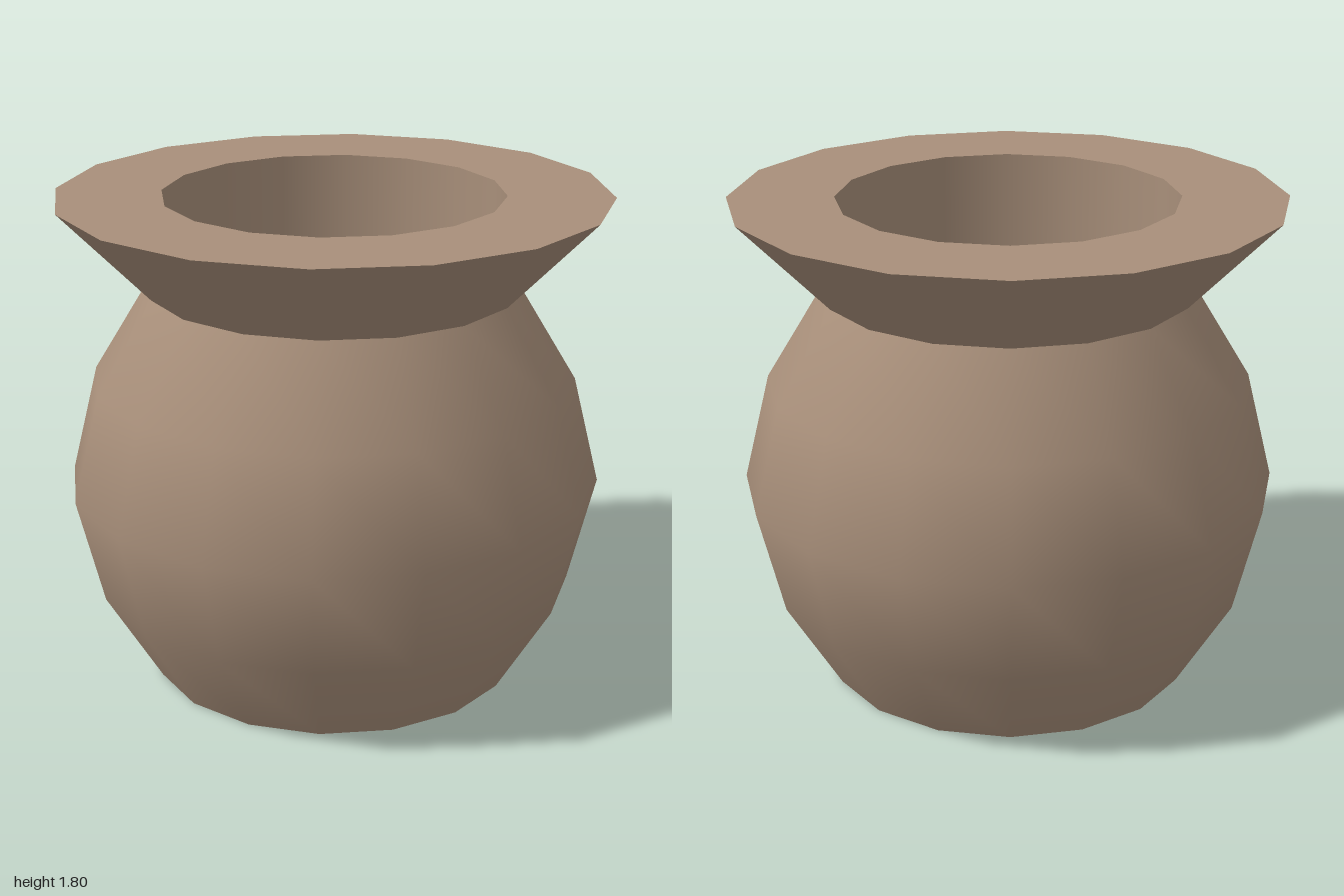
import * as THREE from 'three';

const SIDES = 16;

export function createModel() {
  const group = new THREE.Group();
  group.name = 'pot';
  const clay = new THREE.MeshStandardMaterial({ color: 0xa88f7a });
  clay.name = 'clay';

  // Each section is its own lathe, so edges between sections stay sharp.
  const addSection = (name, profile) => {
    const points = profile.map(([r, y]) => new THREE.Vector2(r, y));
    const mesh = new THREE.Mesh(new THREE.LatheGeometry(points, SIDES), clay);
    mesh.name = name;
    group.add(mesh);
  };

  // Profile runs from the underside, up the outside, over the rim and down the hole
  addSection('base', [[0, 0], [0.675, 0]]);
  addSection('belly', [[0.675, 0], [0.88, 0.34], [0.977, 0.733], [0.88, 1.127], [0.675, 1.465]]);
  addSection('flaredCollar', [[0.675, 1.465], [1, 1.8]]);
  addSection('rim', [[1, 1.8], [0.617, 1.8]]);
  addSection('innerWall', [[0.617, 1.8], [0.617, 1.25]]);
  addSection('innerFloor', [[0.617, 1.25], [0, 1.25]]);

  return group;
}
